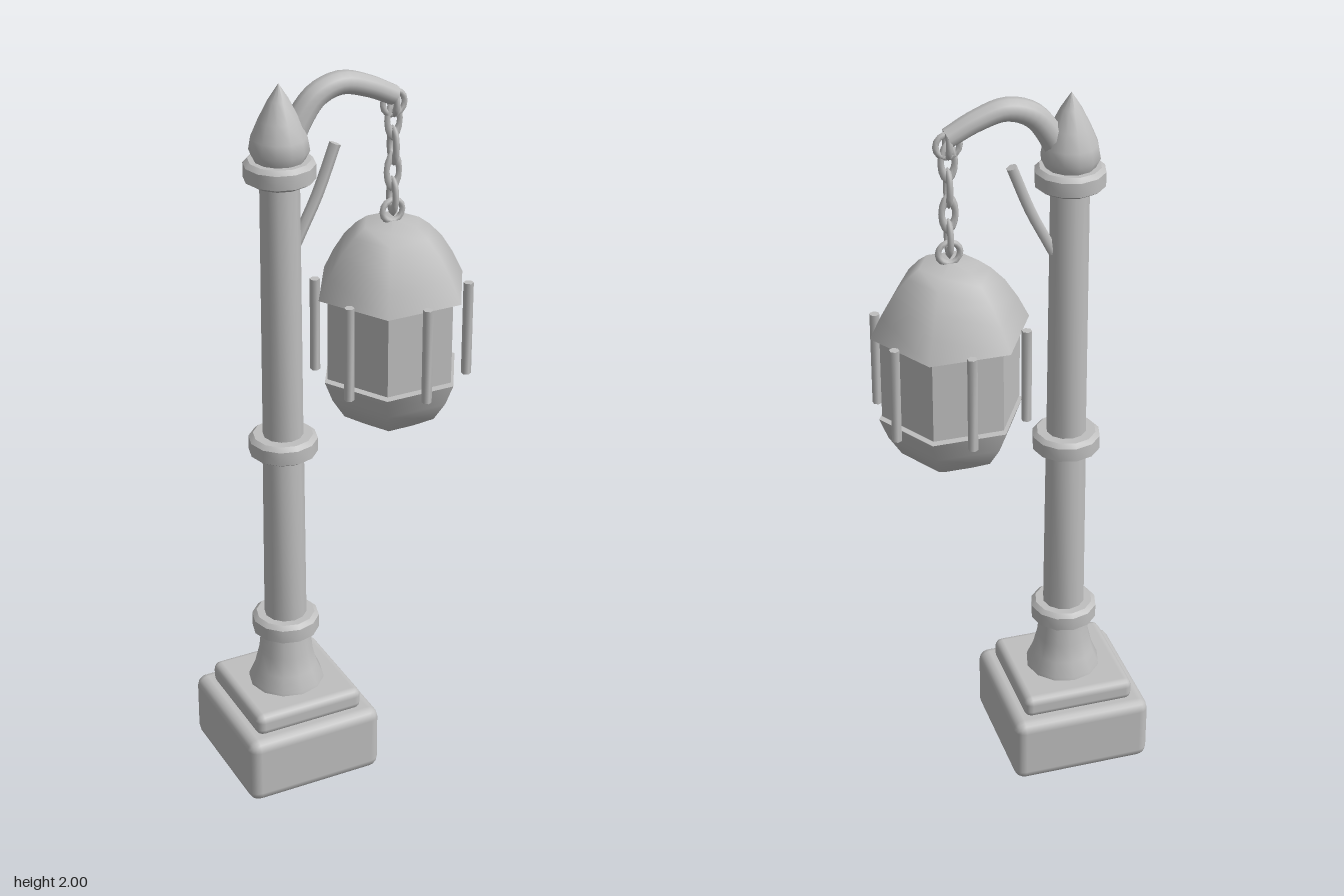
import * as THREE from 'three';
import { toCreasedNormals } from 'three/addons/utils/BufferGeometryUtils.js';
import { RoundedBoxGeometry } from 'three/addons/geometries/RoundedBoxGeometry.js';

const POST_X = -0.168;
const LAMP_X = 0.15;

export function createModel() {
  const model = new THREE.Group();
  const stone = new THREE.MeshStandardMaterial({ color: 0xbfbfbf });
  stone.name = 'plain grey';

  const add = (name, geometry, x = 0, y = 0, z = 0, parent = model) => {
    const mesh = new THREE.Mesh(geometry, stone);
    mesh.name = name;
    mesh.position.set(x, y, z);
    parent.add(mesh);
    return mesh;
  };

  // Turned part: profile points are [radius, y], listed upwards
  const turned = (points, sides) => new THREE.LatheGeometry(
    points.map(([r, y]) => new THREE.Vector2(r, y)), sides, Math.PI / 2);

  // Tube along a curve whose radius runs from r0 to r1, with closed ends
  const taperedTube = (name, points, r0, r1, steps, sides) => {
    const path = new THREE.CatmullRomCurve3(points.map(([x, y]) => new THREE.Vector3(x, y, 0)));
    const geometry = new THREE.TubeGeometry(path, steps, 1, sides);
    const pos = geometry.attributes.position;
    const v = new THREE.Vector3();
    for (let i = 0; i < pos.count; i++) {
      const u = Math.floor(i / (sides + 1)) / steps;
      const centre = path.getPointAt(u);
      v.fromBufferAttribute(pos, i).sub(centre).multiplyScalar(r0 + (r1 - r0) * u).add(centre);
      pos.setXYZ(i, v.x, v.y, v.z);
    }
    add(name, geometry);
    for (const [u, r, dir] of [[0, r0, -1], [1, r1, 1]]) {
      const p = path.getPointAt(u);
      const cap = add(name + 'End', new THREE.CircleGeometry(r, sides), p.x, p.y, 0);
      cap.lookAt(p.clone().addScaledVector(path.getTangentAt(u), dir));
    }
  };

  // Stepped plinth
  add('plinth', new RoundedBoxGeometry(0.394, 0.195, 0.394, 2, 0.03), POST_X, 0.0975);
  add('plinthStep', new RoundedBoxGeometry(0.316, 0.065, 0.316, 2, 0.022), POST_X, 0.219);

  // Post: flared foot and two slim shafts
  const creased = (points, sides, angle = 0.6) => toCreasedNormals(turned(points, sides), angle);
  add('foot', creased([[0.106, 0.24], [0.103, 0.26], [0.086, 0.3], [0.074, 0.35], [0.067, 0.42]], 12), POST_X);
  add('lowerShaft', creased([[0.058, 0.45], [0.055, 0.98]], 12), POST_X);
  add('upperShaft', creased([[0.054, 1.01], [0.051, 1.75]], 12), POST_X);

  // Collars with bevelled rims
  for (const y of [0.438, 0.994, 1.766]) {
    add('collar', creased([
      [0, -0.03], [0.074, -0.03], [0.092, -0.019], [0.092, 0.019], [0.08, 0.03], [0, 0.03],
    ], 12), POST_X, y);
  }

  // Pointed finial
  add('finial', turned([
    [0.062, 1.79], [0.077, 1.82], [0.071, 1.855], [0.052, 1.9], [0.027, 1.95], [0, 1.992],
  ], 12), POST_X);

  // Curved arm and its small strut
  taperedTube('arm', [
    [-0.14, 1.835], [-0.112, 1.89], [-0.066, 1.945], [0, 1.967], [0.075, 1.947], [0.15, 1.91],
  ], 0.036, 0.026, 20, 10);
  taperedTube('strut', [[-0.125, 1.56], [-0.105, 1.6], [-0.065, 1.68], [-0.014, 1.81]], 0.015, 0.015, 8, 6);

  // Chain: round end rings with alternating long links between them
  const ring = (name, y, radius, stretch, turn) => {
    const mesh = add(name, new THREE.TorusGeometry(radius, 0.0085, 6, 14), LAMP_X, y);
    mesh.scale.y = stretch;
    mesh.rotation.y = turn;
  };
  ring('hookRing', 1.89, 0.031, 1, 0);
  ring('hookLink', 1.895, 0.019, 1.6, Math.PI / 2);
  for (let i = 0; i < 4; i++) {
    ring('chainLink', 1.845 - i * 0.069, 0.018, 2.1, i % 2 ? Math.PI / 2 : 0);
  }
  ring('lampRing', 1.598, 0.029, 1, 0);

  // Six-sided lantern
  const lantern = new THREE.Group();
  lantern.name = 'lantern';
  lantern.position.x = LAMP_X;
  model.add(lantern);

  add('roof', turned([
    [0.212, 1.385], [0.182, 1.445], [0.147, 1.5], [0.11, 1.54], [0.078, 1.565], [0, 1.572],
  ], 6), 0, 0, 0, lantern);
  add('roofUnderside', turned([[0, 1.388], [0.212, 1.385]], 6), 0, 0, 0, lantern);
  add('lampBody', creased([[0, 1.153], [0.187, 1.153], [0.187, 1.376], [0, 1.376]], 6), 0, 0, 0, lantern);
  add('bowl', turned([
    [0, 0.957], [0.075, 0.992], [0.137, 1.03], [0.172, 1.085], [0.195, 1.144],
  ], 6), 0, 0, 0, lantern);
  add('bowlTop', turned([[0.195, 1.144], [0, 1.144]], 6), 0, 0, 0, lantern);

  // Upright guard bars, one before each lamp face
  for (let i = 0; i < 6; i++) {
    const a = Math.PI / 6 + i * Math.PI / 3;
    add('guardBar', toCreasedNormals(new THREE.CylinderGeometry(0.0135, 0.0135, 0.264, 6), 1.2),
      0.201 * Math.cos(a), 1.268, 0.201 * Math.sin(a), lantern);
  }

  return model;
}
